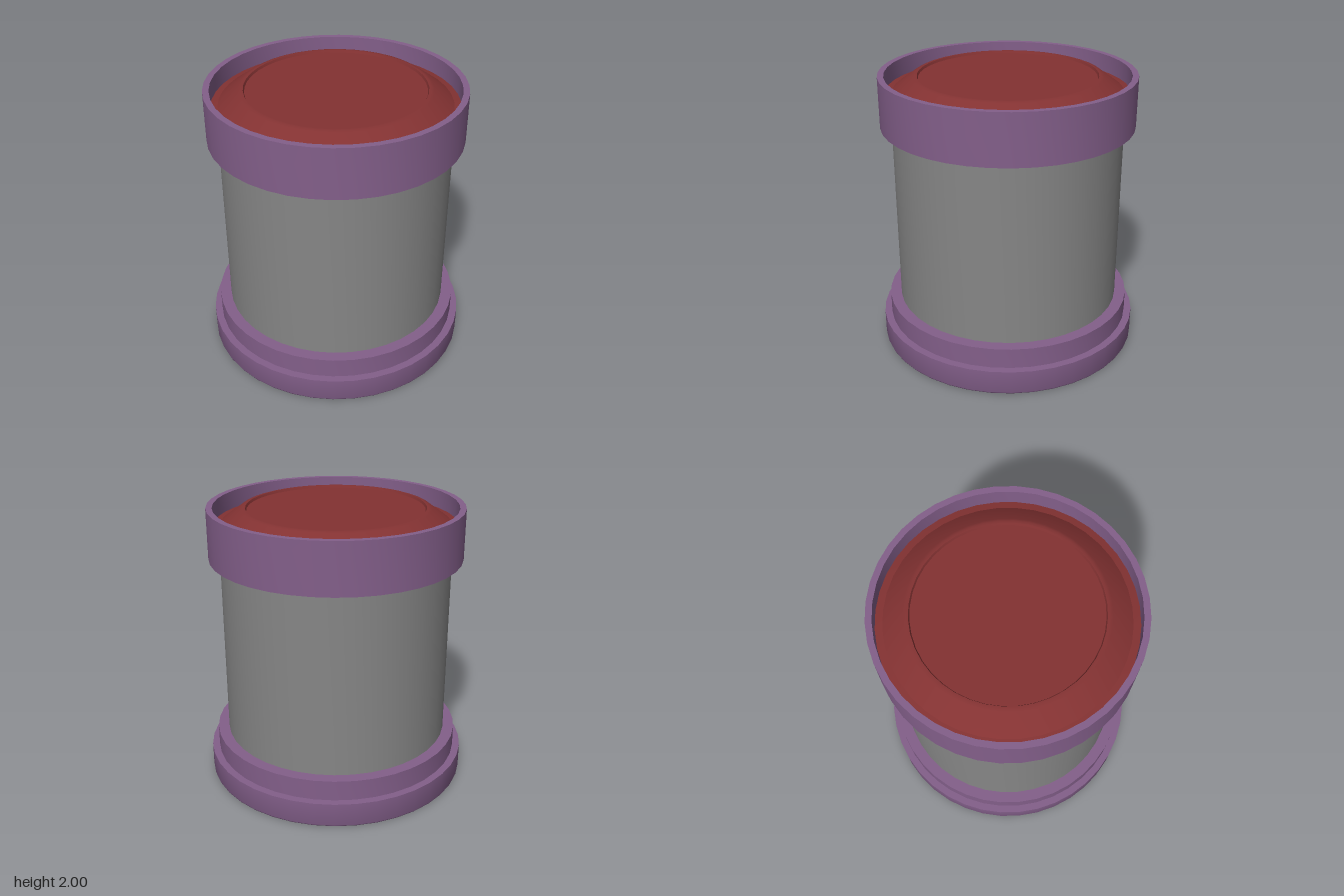
import * as THREE from 'three';
import { toCreasedNormals } from 'three/addons/utils/BufferGeometryUtils.js';

const SIDES = 40;

export function createModel() {
  const group = new THREE.Group();
  group.name = 'canister';

  const grey = new THREE.MeshStandardMaterial({ color: 0x868686 });
  const purple = new THREE.MeshStandardMaterial({ color: 0x835f8a });
  const red = new THREE.MeshStandardMaterial({ color: 0x833232 });

  // Turned part from [radius, height] pairs; corners above the crease angle stay sharp
  function turned(name, material, crease, profile) {
    const points = profile.map(([r, y]) => new THREE.Vector2(r, y));
    const geometry = toCreasedNormals(new THREE.LatheGeometry(points, SIDES), crease);
    const mesh = new THREE.Mesh(geometry, material);
    mesh.name = name;
    group.add(mesh);
  }

  // Stepped foot, hollow underneath with a rounded inner wall
  turned('base', purple, 0.8, [
    [0, 0.15], [0.81, 0.15], [0.825, 0.11], [0.86, 0.085], [0.885, 0.065],
    [0.897, 0.03], [0.912, 0.006], [0.932, 0], [0.941, 0.004], [0.945, 0.013],
    [0.945, 0.18], [0.893, 0.18], [0.893, 0.328], [0.80, 0.328],
  ]);

  // Straight cylindrical wall
  turned('body', grey, 0.6, [[0.813, 0.32], [0.813, 1.66]]);

  // Collar around the top, open in the middle
  turned('topCollar', purple, 0.6, [
    [0.80, 1.643], [0.893, 1.643], [0.893, 2], [0.85, 2], [0.85, 1.86],
  ]);

  // Sunken lid: narrow flange, steep slope, soft raised lip and flat disc
  turned('lid', red, 0.4, [
    [0.852, 1.872], [0.80, 1.88], [0.66, 1.98], [0.64, 1.987],
    [0.625, 1.987], [0.618, 1.97], [0, 1.97],
  ]);

  return group;
}
